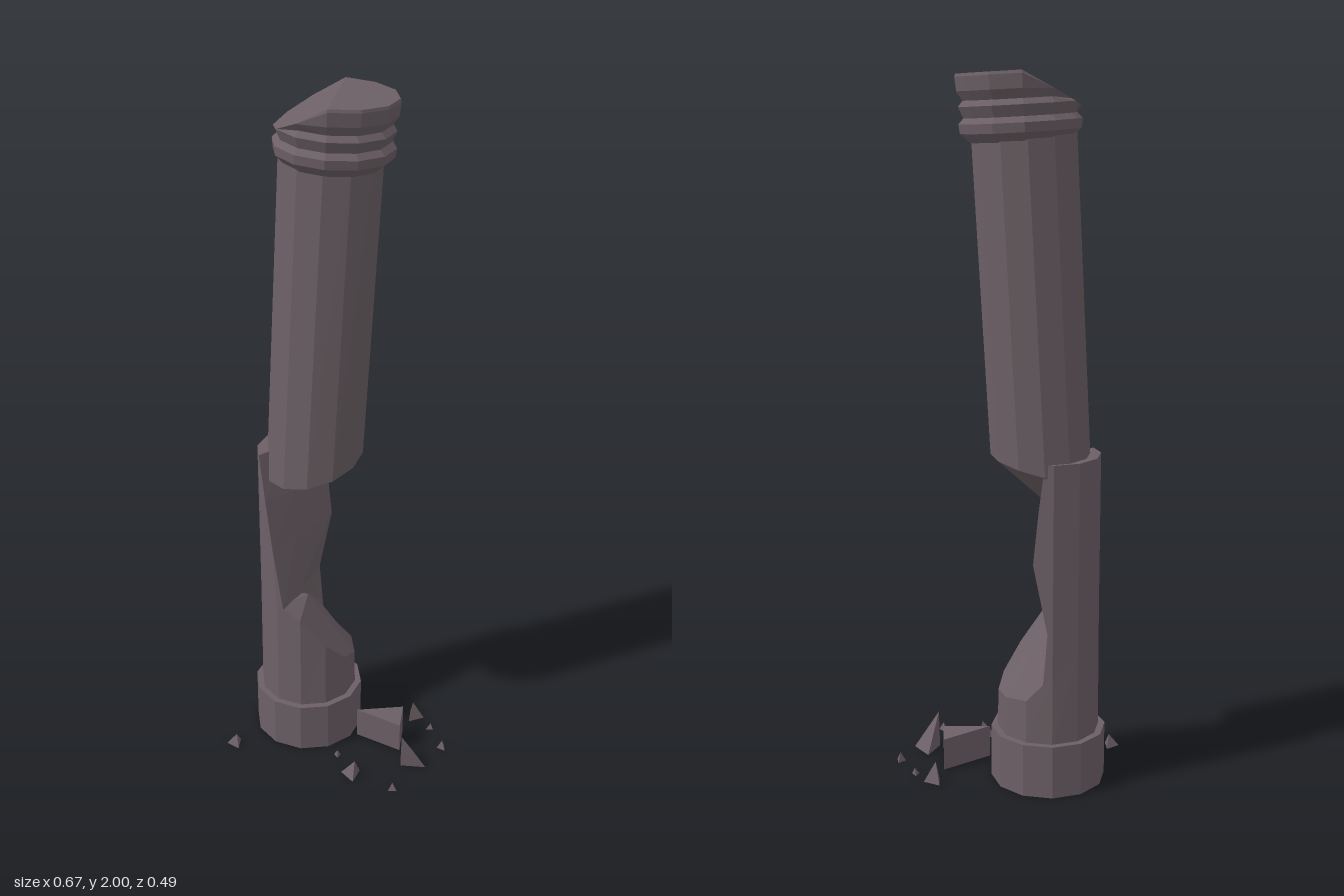
import * as THREE from 'three';

const SIDES = 12, CX = -0.105, CZ = -0.08;

const stone = new THREE.MeshStandardMaterial({ color: 0x6c6066, flatShading: true });
stone.name = 'weathered stone';

function addMesh(group, name, geometry) {
  geometry.computeVertexNormals();
  const mesh = new THREE.Mesh(geometry, stone);
  mesh.name = name;
  group.add(mesh);
}

// Moves every vertex of a geometry by a rule.
function reshape(geometry, rule) {
  const p = geometry.attributes.position, v = new THREE.Vector3();
  for (let i = 0; i < p.count; i++) {
    rule(v.fromBufferAttribute(p, i));
    p.setXYZ(i, v.x, v.y, v.z);
  }
  return geometry;
}

// Joins equal-length rings, listed bottom to top, with a fan cap at each end.
function skin(rings) {
  const n = rings[0].length, index = [];
  for (let r = 0; r + 1 < rings.length; r++) {
    for (let i = 0; i < n; i++) {
      const a = r * n + i, b = r * n + (i + 1) % n;
      index.push(b, a, a + n, b, a + n, b + n);
    }
  }
  const top = (rings.length - 1) * n;
  for (let i = 1; i + 1 < n; i++) {
    // fan from the last point, which lies on the broken side
    index.push(n - 1, i - 1, i, top + n - 1, top + i, top + i - 1);
  }
  index.push(n - 1, n - 3, n - 2, top + n - 1, top + n - 2, top + n - 3);
  const g = new THREE.BufferGeometry();
  g.setAttribute('position', new THREE.Float32BufferAttribute(rings.flat(2), 3));
  g.setIndex(index);
  return g;
}

// Point on the twelve-sided outline at an angle in degrees.
function outline(deg, radius) {
  const off = ((deg % 30) + 30) % 30 - 15;
  const r = radius * Math.cos(Math.PI / 12) / Math.cos(off * Math.PI / 180);
  const a = deg * Math.PI / 180;
  return [CX + r * Math.cos(a), CZ + r * Math.sin(a)];
}

export function createModel() {
  const model = new THREE.Group();
  model.name = 'brokenColumn';

  // Plinth
  addMesh(model, 'base',
    new THREE.CylinderGeometry(0.165, 0.165, 0.155, SIDES).translate(CX, 0.0775, CZ));

  // Lower stump with a slanting break
  const stump = new THREE.CylinderGeometry(0.144, 0.146, 0.3, SIDES).translate(CX, 0.3, CZ);
  addMesh(model, 'lowerStump', reshape(stump, v => {
    if (v.y < 0.3) return;
    v.y = Math.min(0.5 + 0.1 * Math.min(0, v.x + 0.15), 0.27 + 1.35 * (0.036 - v.x));
    if (v.z < -0.1) v.y = Math.max(0.27, v.y + (v.z + 0.1) * 0.8);
  }));

  // Standing splinter: [height, first angle, last angle, broken-face x, z]
  const levels = [
    [0.2, 100, 285, -0.11, -0.08],
    [0.48, 112, 276, -0.13, -0.06],
    [0.68, 127, 293, -0.135, -0.04],
    [0.83, 140, 287, -0.14, -0.07],
    [0.965, 155, 280, -0.17, -0.09],
  ];
  addMesh(model, 'standingSplinter', skin(levels.map(([y, a0, a1, mx, mz]) => {
    const ring = [];
    for (let a = 90; a <= 300; a += 30) {
      const [x, z] = outline(Math.min(a1, Math.max(a0, a)), 0.144);
      ring.push([x, y, z]);
    }
    ring.push([mx, y, mz]);
    return ring;
  })));

  // Leaning upper shaft with a jagged pointed underside
  const shaft = new THREE.CylinderGeometry(0.141, 0.141, 0.9, SIDES);
  addMesh(model, 'upperShaft', reshape(shaft, v => {
    const low = v.y < 0, centre = Math.hypot(v.x, v.z) < 0.01;
    if (low && centre) { v.set(-0.1, 0.825, -0.11); return; }
    const f = low ? 0 : 1;
    v.y = low ? 0.93 + 0.25 * v.x - 0.15 * Math.max(0, v.z) : 1.85 - 0.055 * v.x;
    v.x += -0.081 + 0.05 * f;
    v.z = v.z * (1 - 0.04 * f) - 0.081 - 0.005 * f;
  }));

  // Ringed capital, leaning with the shaft and sheared off on one side
  const profile = [[0, -0.18], [0.136, -0.18], [0.162, -0.155], [0.165, -0.13], [0.15, -0.115],
    [0.163, -0.085], [0.15, -0.07], [0.165, -0.045], [0.168, -0.008], [0.165, 0], [0, 0]]
    .map(([r, y]) => new THREE.Vector2(r, y));
  const capital = new THREE.LatheGeometry(profile, SIDES);
  capital.rotateZ(-0.055).translate(-0.015, 2, CZ);
  addMesh(model, 'capital', reshape(capital, v => {
    v.y = Math.min(v.y, 2, 2 + 0.53 * (v.x + 0.015));
  }));

  // Wedge-shaped block lying against the base
  const plan = [[0.06, 0.01], [0.198, 0.05], [0.198, -0.045]];
  const block = (y0, y1) => plan.map(([x, z], i) => [x, i ? y0 : y1, z]);
  addMesh(model, 'fallenBlock', skin([block(0, 0.015), block(0.095, 0.11)].map(r => r.reverse()))
    .setIndex([0, 1, 2, 3, 5, 4, 0, 4, 1, 0, 3, 4, 1, 5, 2, 1, 4, 5, 2, 3, 0, 2, 5, 3]));

  // Small rubble: [centre x, z, radius, turn, height, apex offset x, z]
  const rubble = [
    [0.228, -0.121, 0.03, 0, 0.06, -0.005, 0.005],
    [0.281, -0.07, 0.013, 0.5, 0.02, 0.003, 0],
    [0.327, 0.02, 0.016, 0.9, 0.028, 0, 0],
    [0.246, 0.098, 0.044, -1.6, 0.11, -0.035, 0.025],
    [0.066, 0.185, 0.033, 1.3, 0.05, 0.01, -0.003],
    [0.196, 0.233, 0.015, -1.7, 0.025, 0, 0],
    [0.012, 0.102, 0.012, 1.4, 0.02, 0, 0],
    [-0.31, 0.09, 0.026, 3.1, 0.038, 0.005, 0],
  ];
  rubble.forEach(([x, z, r, turn, h, ax, az], i) => {
    const chip = new THREE.ConeGeometry(r, h, 3).rotateY(Math.PI / 2 - Math.PI / 2 - turn + Math.PI / 2);
    chip.translate(0, h / 2, 0);
    reshape(chip, v => { if (v.y > h / 2) { v.x += ax; v.z += az; } });
    addMesh(model, 'rubble' + (i + 1), chip.translate(x, 0, z));
  });

  return model;
}
